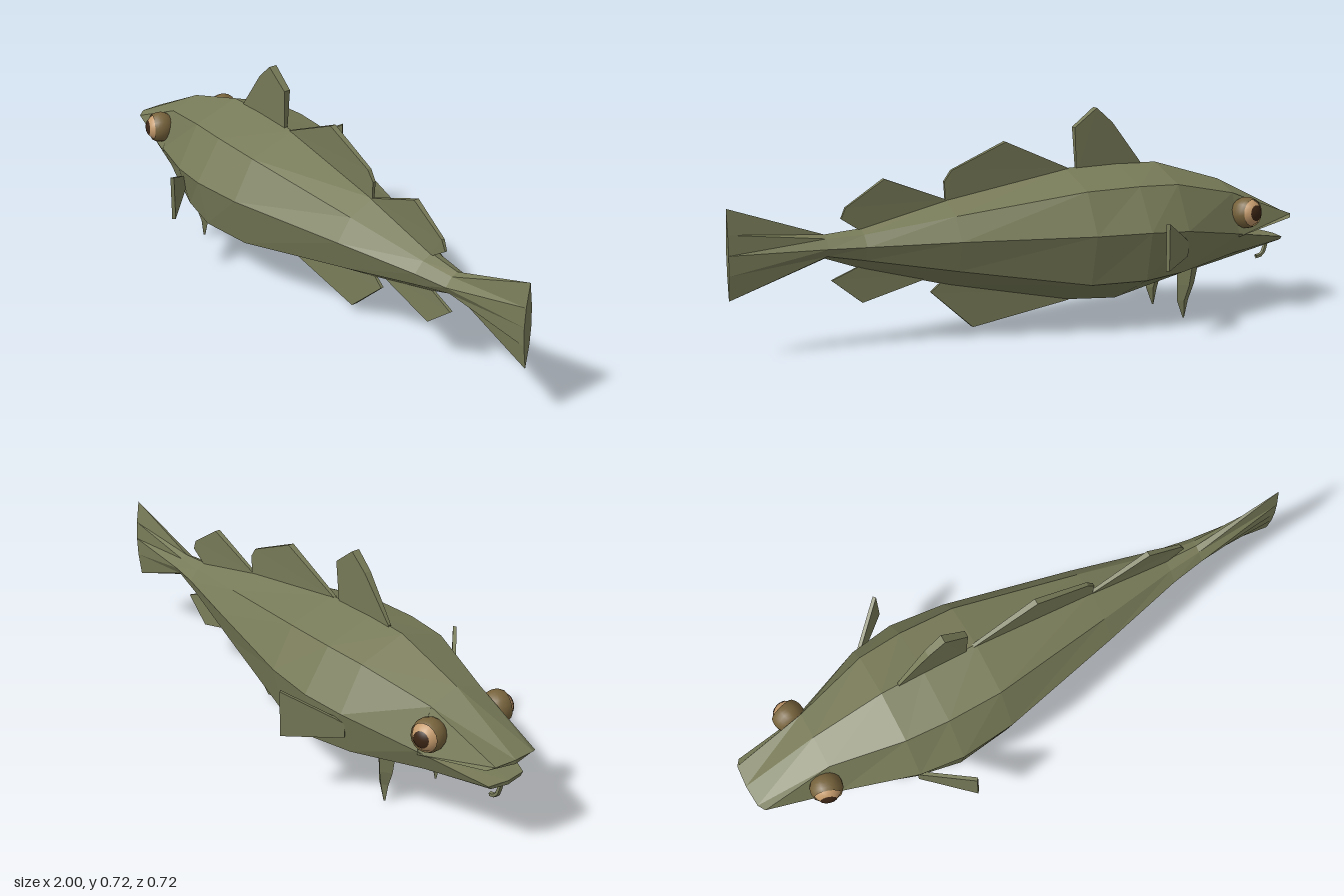
import * as THREE from 'three';

const skin = new THREE.MeshStandardMaterial({ color: 0x787b58, flatShading: true, side: THREE.DoubleSide });
const colour = (c) => new THREE.MeshStandardMaterial({ color: c, side: THREE.DoubleSide });

// Skin a series of equal-sized closed rings and cap both ends
function loft(name, rings) {
  const pos = [];
  const tri = (a, b, c) => pos.push(...a, ...b, ...c);
  const n = rings[0].length;
  for (let i = 0; i < rings.length - 1; i++) {
    for (let j = 0; j < n; j++) {
      const k = (j + 1) % n;
      const [a, b, c, d] = [rings[i][j], rings[i][k], rings[i + 1][k], rings[i + 1][j]];
      tri(a, b, d);
      tri(b, c, d);
    }
  }
  const first = rings[0], last = rings[rings.length - 1];
  for (let j = 1; j < n - 1; j++) {
    tri(first[0], first[j + 1], first[j]);
    tri(last[0], last[j], last[j + 1]);
  }
  const geo = new THREE.BufferGeometry();
  geo.setAttribute('position', new THREE.Float32BufferAttribute(pos, 3));
  geo.computeVertexNormals();
  const mesh = new THREE.Mesh(geo, skin);
  mesh.name = name;
  return mesh;
}

// Symmetric ring: top centre, side points [y, z, dx] going down, bottom centre
function ring(x, top, sides, bottom) {
  const half = sides.map(([y, z, dx = 0]) => [x + dx, y, z]);
  const other = half.map(([px, y, z]) => [px, y, -z]).reverse();
  return [[x, top, 0], ...half, [x, bottom, 0], ...other];
}

// Flat outline extruded about z = 0; thickness varies from root to tip height
function plate(points, rootY, tipY, rootT, tipT) {
  const shape = new THREE.Shape(points.map(([x, y]) => new THREE.Vector2(x, y)));
  const geo = new THREE.ExtrudeGeometry(shape, { depth: 1, bevelEnabled: false });
  geo.translate(0, 0, -0.5);
  const p = geo.attributes.position;
  for (let i = 0; i < p.count; i++) {
    const t = THREE.MathUtils.clamp((p.getY(i) - rootY) / (tipY - rootY), 0, 1);
    p.setZ(i, p.getZ(i) * THREE.MathUtils.lerp(rootT, tipT, t));
  }
  geo.computeVertexNormals();
  return geo;
}

export function createModel() {
  const model = new THREE.Group();
  model.name = 'fish';

  // Body and tail fin: x, top, [y, z] of shoulder, side and belly edge, bottom
  model.add(loft('body', [
    ring(-0.74, 0.455, [[0.42, 0.10], [0.285, 0.15], [0.215, 0.12]], 0.16),
    ring(-0.49, 0.53, [[0.475, 0.16], [0.33, 0.24], [0.185, 0.20]], 0.108),
    ring(-0.34, 0.535, [[0.48, 0.17], [0.34, 0.26], [0.175, 0.226]], 0.07),
    ring(-0.15, 0.53, [[0.475, 0.165], [0.34, 0.24], [0.172, 0.20]], 0.083),
    ring(0.28, 0.455, [[0.415, 0.09], [0.34, 0.14], [0.24, 0.11]], 0.175),
    ring(0.57, 0.385, [[0.37, 0.035], [0.335, 0.066], [0.29, 0.05]], 0.255),
    ring(0.69, 0.375, [[0.365, 0.022], [0.335, 0.045], [0.31, 0.03]], 0.298),
    ring(1.0, 0.48, [[0.40, 0.011], [0.335, 0.014], [0.27, 0.011]], 0.19),
  ]));

  // Wedge snout and lower jaw leave the mouth slightly open
  model.add(loft('snout', [
    ring(-1.0, 0.325, [[0.324, 0.075, 0.005], [0.315, 0.098, 0.02]], 0.312),
    ring(-0.74, 0.455, [[0.42, 0.10], [0.275, 0.15]], 0.275),
  ]));
  model.add(loft('lowerJaw', [
    ring(-0.975, 0.243, [[0.243, 0.07, 0.01], [0.232, 0.06, 0.01]], 0.23),
    ring(-0.74, 0.285, [[0.285, 0.15], [0.215, 0.12]], 0.16),
  ]));

  // Chin barbel
  const barbelPath = new THREE.CatmullRomCurve3([[-0.95, 0.245], [-0.942, 0.2], [-0.928, 0.17], [-0.905, 0.163]]
    .map(([x, y]) => new THREE.Vector3(x, y, 0)));
  const barbel = new THREE.Mesh(new THREE.TubeGeometry(barbelPath, 6, 0.008, 5), skin);
  barbel.name = 'chinBarbel';
  model.add(barbel);

  // Fins along the back and belly: outline, root y, tip y, root and tip thickness
  const fins = [
    ['firstDorsalFin', [[-0.43, 0.5], [-0.43, 0.535], [-0.32, 0.675], [-0.26, 0.727], [-0.18, 0.665], [-0.19, 0.5]], 0.53, 0.72, 0.01, 0.028],
    ['secondDorsalFin', [[-0.16, 0.5], [-0.16, 0.53], [0.07, 0.632], [0.26, 0.55], [0.285, 0.515], [0.28, 0.43]], 0.48, 0.63, 0.008, 0.02],
    ['thirdDorsalFin', [[0.28, 0.43], [0.28, 0.457], [0.49, 0.538], [0.62, 0.455], [0.635, 0.42], [0.56, 0.37]], 0.42, 0.53, 0.008, 0.018],
    ['firstAnalFin', [[-0.16, 0.11], [-0.16, 0.082], [0.19, 0.025], [0.335, 0.155], [0.28, 0.2]], 0.18, 0.03, 0.008, 0.02],
    ['secondAnalFin', [[0.34, 0.22], [0.36, 0.2], [0.57, 0.145], [0.67, 0.225], [0.56, 0.27]], 0.25, 0.15, 0.008, 0.018],
  ];
  for (const [name, outline, ...taper] of fins) {
    const fin = new THREE.Mesh(plate(outline, ...taper), skin);
    fin.name = name;
    model.add(fin);
  }

  for (const side of [1, -1]) {
    const label = side > 0 ? 'left' : 'right';

    // Swept-back pectoral fin
    const pectoral = new THREE.Mesh(
      plate([[-0.03, 0.295], [0, 0.31], [0.17, 0.387], [0.17, 0.232], [0, 0.243], [-0.03, 0.245]], 0, 1, 0.012, 0.012), skin);
    pectoral.name = label + 'PectoralFin';
    pectoral.position.set(-0.468, 0, side * 0.243);
    pectoral.rotation.y = -side * 0.74;
    model.add(pectoral);

    // Spiked pelvic fin
    const spike = (x, y, z, rx, rz) => [[x + rx, y, z], [x, y, z + rz], [x - rx, y, z], [x, y, z - rz]];
    const pelvic = loft(label + 'PelvicFin', [
      spike(-0.56, 0.18, side * 0.112, 0.04, 0.03),
      spike(-0.555, 0.12, side * 0.11, 0.033, 0.025),
      spike(-0.545, 0.065, side * 0.108, 0.022, 0.012),
      spike(-0.55, 0.003, side * 0.107, 0.003, 0.004),
    ]);
    model.add(pelvic);

    // Eye: ball, pupil cap and surrounding lid, all facing along local +y
    const eye = new THREE.Group();
    eye.name = label + 'Eye';
    const parts = [
      ['eyeball', 0.05, 0, Math.PI, 0xc49a6c],
      ['pupil', 0.0515, 0, 0.55, 0x3a2414],
      ['eyelid', 0.054, 1.0, Math.PI - 1.0, 0x77633c],
    ];
    for (const [name, r, start, length, c] of parts) {
      const part = new THREE.Mesh(new THREE.SphereGeometry(r, 16, 10, 0, Math.PI * 2, start, length), colour(c));
      part.name = name;
      eye.add(part);
    }
    eye.position.set(-0.775, 0.355, side * 0.137);
    eye.quaternion.setFromUnitVectors(new THREE.Vector3(0, 1, 0), new THREE.Vector3(-0.3, 0.08, side).normalize());
    model.add(eye);
  }
  return model;
}
